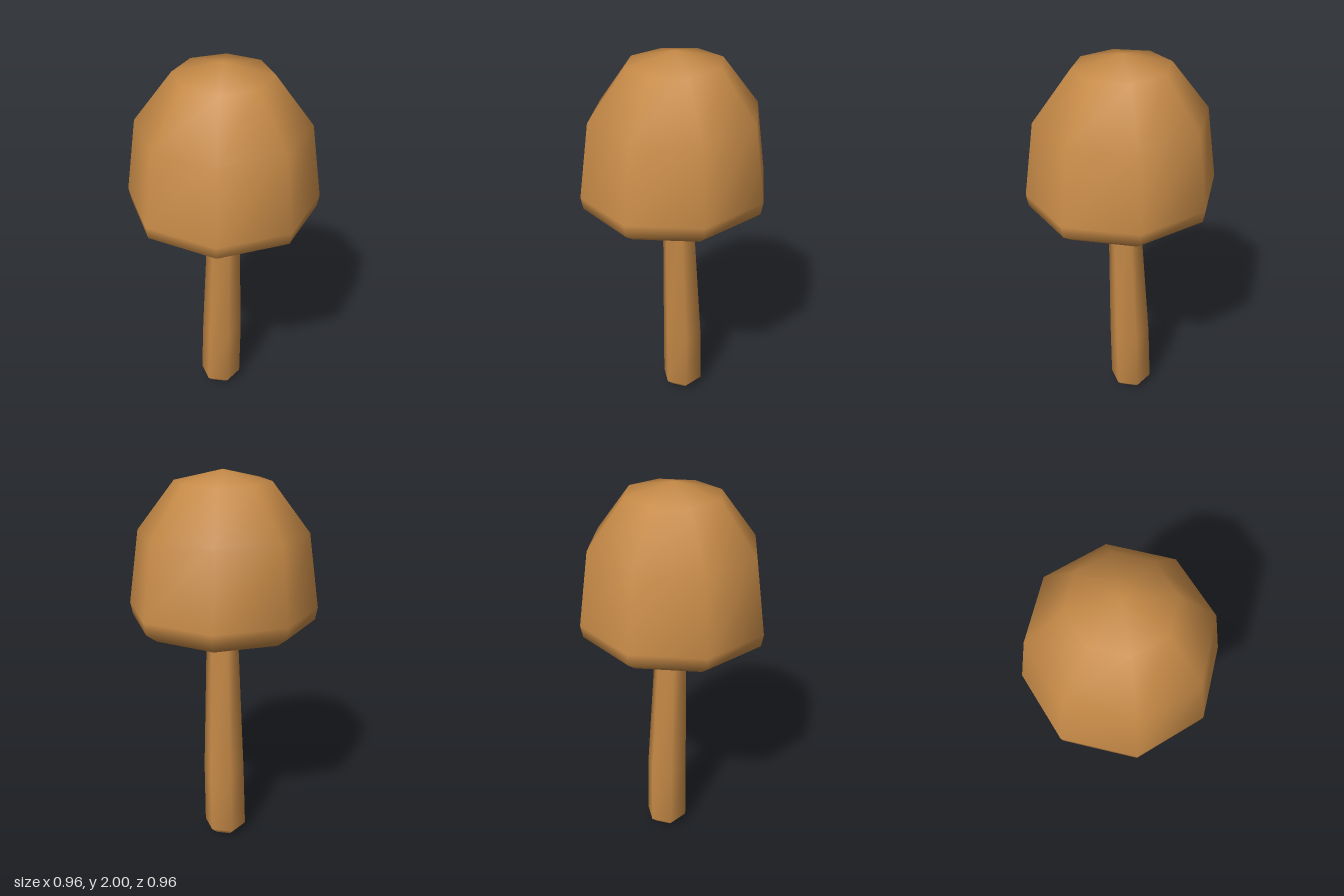
import * as THREE from 'three';

// Closed smooth loft: rings are [x, y, z, radius] from bottom to top, ended by a centre point each.
function loft(rings, sides, turn, tilt = 0) {
  const pos = [], index = [];
  const first = rings[0], last = rings[rings.length - 1];
  for (const [x, y, z, r] of rings) {
    for (let i = 0; i < sides; i++) {
      const a = turn + (i / sides) * Math.PI * 2;
      const dz = r * Math.sin(a);
      pos.push(x + r * Math.cos(a), y - tilt * dz, z + dz);
    }
  }
  const bottom = pos.length / 3, top = bottom + 1;
  pos.push(first[0], first[4] ?? first[1], first[2]);
  pos.push(last[0], last[4] ?? last[1], last[2]);
  const lastRow = (rings.length - 1) * sides;
  for (let i = 0; i < sides; i++) {
    const j = (i + 1) % sides;
    for (let k = 0; k < lastRow; k += sides) {
      index.push(k + i, k + sides + i, k + j, k + j, k + sides + i, k + sides + j);
    }
    index.push(bottom, i, j, top, lastRow + j, lastRow + i);
  }
  const g = new THREE.BufferGeometry();
  g.setAttribute('position', new THREE.Float32BufferAttribute(pos, 3));
  g.setIndex(index);
  g.computeVertexNormals();
  return g;
}

export function createModel() {
  const model = new THREE.Group();
  model.name = 'mushroom';
  const tan = new THREE.MeshStandardMaterial({ color: 0xc68a47 });
  tan.name = 'warm tan';

  // Eight-sided domed cap, leaning very slightly forward (fifth value: height of the end point)
  const cap = new THREE.Mesh(loft([
    [0, 1.217, 0, 0.41],
    [0, 1.262, 0, 0.47],
    [0, 1.325, 0, 0.481],
    [0, 1.702, 0, 0.425],
    [0, 1.946, 0, 0.237, 2.0],
  ], 8, THREE.MathUtils.degToRad(5), 0.025), tan);
  cap.name = 'cap';

  // Six-sided stem, wider and set back at the foot, with a bevelled base
  const stem = new THREE.Mesh(loft([
    [-0.016, 0.008, -0.053, 0.076, 0.0],
    [-0.015, 0.048, -0.054, 0.114],
    [-0.007, 0.4, -0.047, 0.11],
    [0.003, 1.21, -0.015, 0.081],
    [0.003, 1.3, -0.013, 0.078],
  ], 6, THREE.MathUtils.degToRad(10)), tan);
  stem.name = 'stem';

  model.add(cap, stem);
  return model;
}
